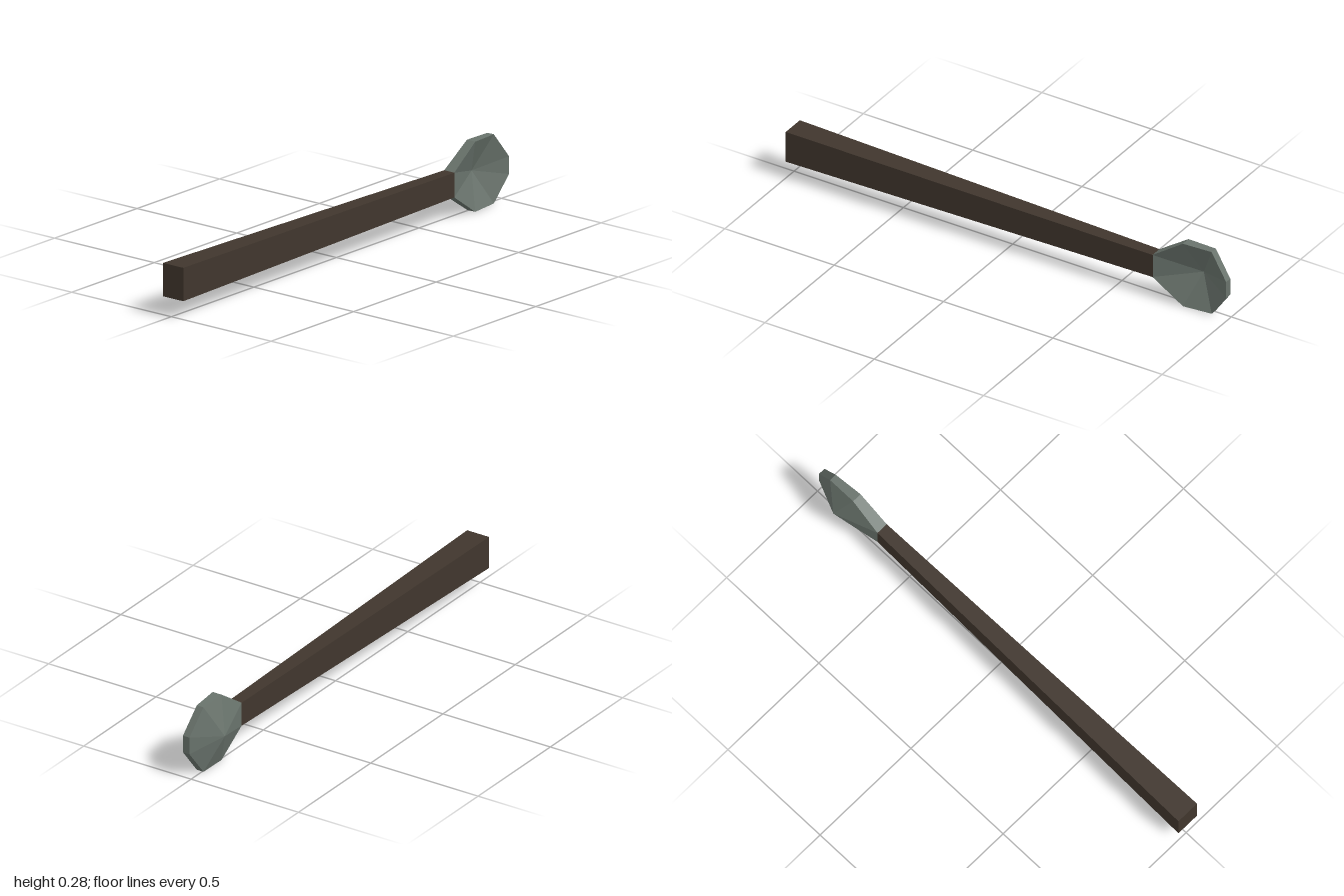
import * as THREE from 'three';

const wood = new THREE.MeshStandardMaterial({ name: 'darkWood', color: 0x40362d, flatShading: true });
const metal = new THREE.MeshStandardMaterial({ name: 'greyMetal', color: 0x69736c, flatShading: true });

const MID_Y = 0.144;

// Square bar tapering from the butt end to the bowl
function createHandle() {
  const butt = { x: -1, h: 0.135, z0: -0.042, z1: 0.06 };
  const neck = { x: 0.667, h: 0.1, z0: -0.01, z1: 0.041 };
  const geo = new THREE.BoxGeometry(1, 1, 1);
  const pos = geo.attributes.position;
  for (let i = 0; i < pos.count; i++) {
    const end = pos.getX(i) < 0 ? butt : neck;
    pos.setXYZ(i, end.x, MID_Y + pos.getY(i) * end.h, pos.getZ(i) < 0 ? end.z0 : end.z1);
  }
  geo.computeVertexNormals();
  const mesh = new THREE.Mesh(geo, wood);
  mesh.name = 'handle';
  return mesh;
}

// Eight-sided dished bowl: front hollow, rim band and pointed back
function createBowl() {
  // x, half height, front z, back z
  const half = [
    [0.665, 0.05, 0.041, -0.01],
    [0.8, 0.142, 0.034, -0.007],
    [0.925, 0.14, 0.024, -0.007],
    [1, 0.036, 0.038, 0.008],
  ];
  const rim = [
    ...half.map(([x, h, f, b]) => [x, MID_Y - h, f, b]),
    ...half.slice().reverse().map(([x, h, f, b]) => [x, MID_Y + h, f, b]),
  ];
  const hollow = [0.855, MID_Y, -0.03];
  const apex = [0.855, MID_Y, -0.06];
  const verts = [];
  const tri = (...points) => points.forEach((p) => verts.push(...p));
  rim.forEach(([x, y, f, b], i) => {
    const [x2, y2, f2, b2] = rim[(i + 1) % rim.length];
    const p = [x, y, f], q = [x, y, b];
    const p2 = [x2, y2, f2], q2 = [x2, y2, b2];
    tri(hollow, p, p2);
    tri(apex, q2, q);
    tri(p, q, p2);
    tri(p2, q, q2);
  });
  const geo = new THREE.BufferGeometry();
  geo.setAttribute('position', new THREE.Float32BufferAttribute(verts, 3));
  geo.computeVertexNormals();
  const mesh = new THREE.Mesh(geo, metal);
  mesh.name = 'bowl';
  return mesh;
}

export function createModel() {
  const group = new THREE.Group();
  group.name = 'spoon';
  group.add(createHandle(), createBowl());
  return group;
}
